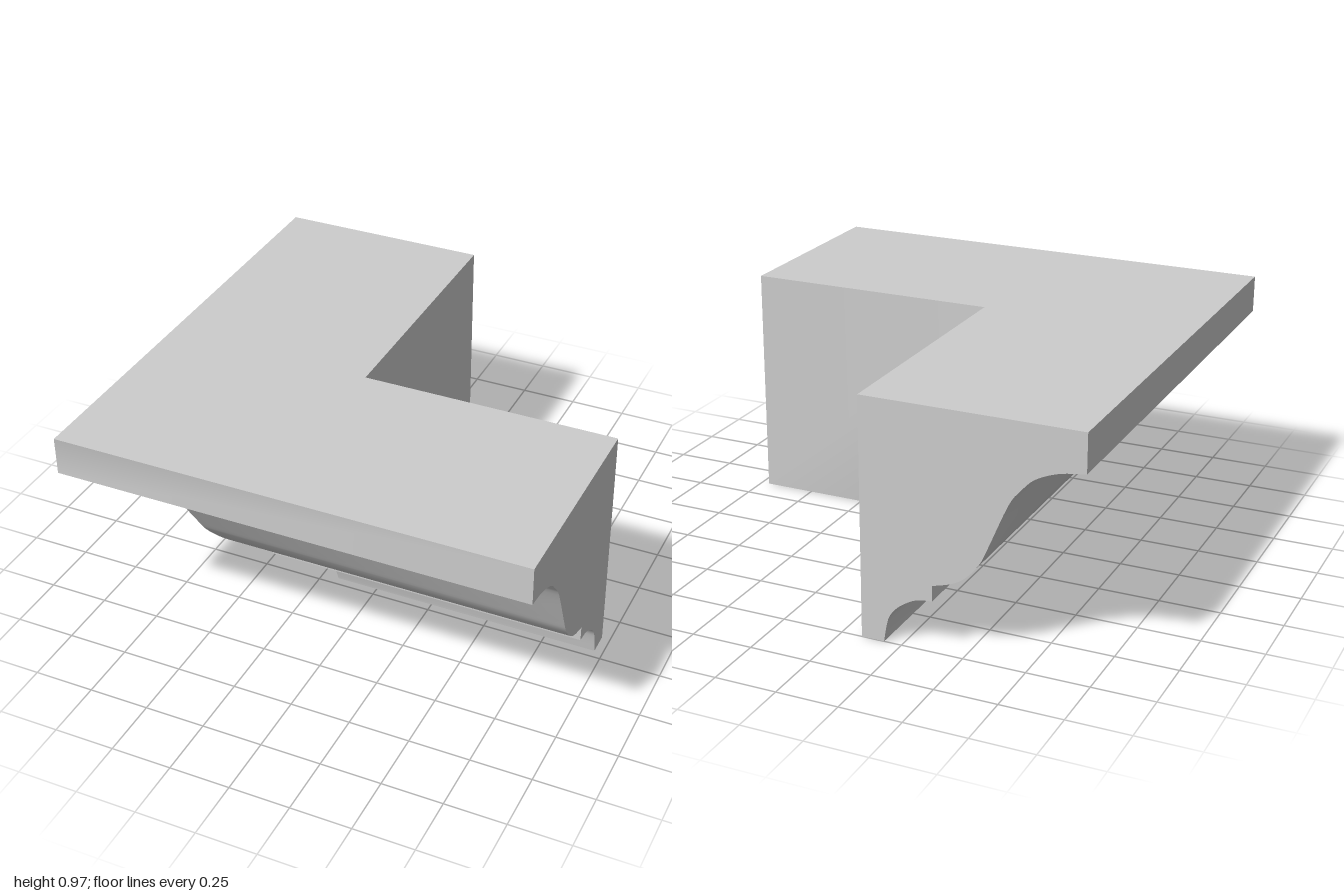
import * as THREE from 'three';

const HALF_X = 0.965, HALF_Z = 1, DEPTH = 0.88, TOP = 0.97;

// Smooth curve through a few [inset, height] points
function curve(points, divisions) {
  return new THREE.SplineCurve(points.map(p => new THREE.Vector2(...p))).getPoints(divisions);
}
const line = (...points) => points.map(p => new THREE.Vector2(...p));

// Moulding profile, split wherever it has a sharp edge
const runs = {
  fascia: line([0, TOP], [0, 0.815]),
  ogee: curve([[0, 0.815], [0.1, 0.8], [0.19, 0.762], [0.245, 0.708], [0.29, 0.645],
    [0.367, 0.465], [0.4, 0.395], [0.455, 0.33], [0.51, 0.295], [0.588, 0.271]], 36),
  fillet: line([0.588, 0.271], [0.588, 0.208]),
  lowerCove: curve([[0.588, 0.208], [0.655, 0.198], [0.72, 0.16], [0.76, 0.115],
    [0.775, 0.07], [0.787, 0]], 20),
  bottom: line([0.787, 0], [DEPTH, 0]),
  backWall: line([DEPTH, 0], [DEPTH, TOP]),
  top: line([DEPTH, TOP], [0, TOP]),
};

// Sweep one run along the front leg, round the mitre and along the side leg
function sweep(run) {
  const positions = [], index = [];
  for (const { x: d, y } of run) {
    positions.push(HALF_X, y, HALF_Z - d, d - HALF_X, y, HALF_Z - d, d - HALF_X, y, -HALF_Z);
  }
  for (let i = 0; i < run.length - 1; i++) {
    for (let leg = 0; leg < 2; leg++) {
      const a = i * 3 + leg, b = a + 1, c = a + 3, e = a + 4;
      index.push(a, b, e, a, e, c);
    }
  }
  const geometry = new THREE.BufferGeometry();
  geometry.setAttribute('position', new THREE.Float32BufferAttribute(positions, 3));
  geometry.setIndex(index);
  geometry.computeVertexNormals();
  return geometry;
}

export function createModel() {
  const group = new THREE.Group();
  group.name = 'corniceCorner';
  const plaster = new THREE.MeshStandardMaterial({ color: 0xcccccc });
  plaster.name = 'light grey plaster';

  const add = (name, geometry) => {
    const mesh = new THREE.Mesh(geometry, plaster);
    mesh.name = name;
    group.add(mesh);
    return mesh;
  };

  for (const [name, run] of Object.entries(runs)) add(name, sweep(run));

  // Flat cut ends showing the profile
  const outline = Object.values(runs).flatMap(run => run.slice(0, -1));
  const frontEnd = add('frontLegEnd', new THREE.ShapeGeometry(new THREE.Shape(outline)));
  frontEnd.rotation.y = Math.PI / 2;
  frontEnd.position.set(HALF_X, 0, HALF_Z);

  const mirrored = outline.map(p => new THREE.Vector2(-p.x, p.y));
  const sideEnd = add('sideLegEnd', new THREE.ShapeGeometry(new THREE.Shape(mirrored)));
  sideEnd.rotation.y = Math.PI;
  sideEnd.position.set(-HALF_X, 0, -HALF_Z);

  return group;
}
